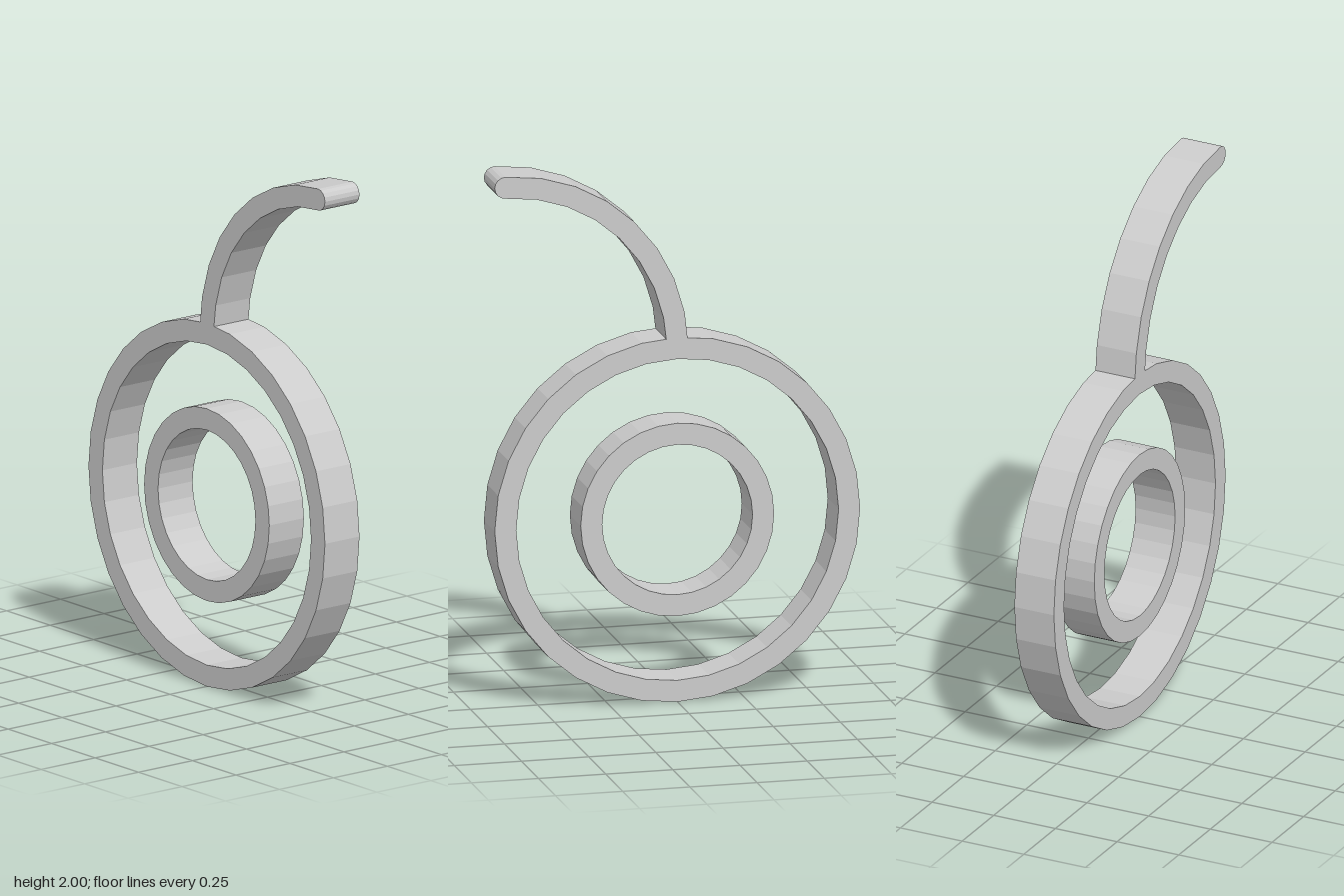
import * as THREE from 'three';

const DEPTH = 0.16;
const CENTRE_Y = 0.68;

// Points along a circular arc, angles in radians
function arc(cx, cy, r, from, to, steps) {
  return Array.from({ length: steps + 1 }, (_, i) => {
    const a = from + ((to - from) * i) / steps;
    return new THREE.Vector2(cx + r * Math.cos(a), cy + r * Math.sin(a));
  });
}

function plate(name, shape, material) {
  const geometry = new THREE.ExtrudeGeometry(shape, { depth: DEPTH, bevelEnabled: false });
  geometry.translate(0, 0, -DEPTH / 2);
  const mesh = new THREE.Mesh(geometry, material);
  mesh.name = name;
  return mesh;
}

// Flat faceted ring, 32 sides
function ring(name, outer, inner, material) {
  const circle = (r) => arc(0, CENTRE_Y, r, 0, Math.PI * 2, 32).slice(0, 32);
  const shape = new THREE.Shape(circle(outer));
  shape.holes.push(new THREE.Path(circle(inner)));
  return plate(name, shape, material);
}

export function createModel() {
  const group = new THREE.Group();
  group.name = 'ringsWithCurvedArm';
  const grey = new THREE.MeshStandardMaterial({ color: 0xcccccc });
  grey.name = 'lightGrey';

  group.add(ring('outerRing', 0.68, 0.6, grey));
  group.add(ring('innerRing', 0.36, 0.28, grey));

  // Quarter-circle arm rising from the outer ring, with a rounded tip
  const cx = 0.64, cy = 1.32;
  const outline = [
    new THREE.Vector2(-0.038, 1.352),
    ...arc(cx, cy, 0.68, Math.PI, Math.PI / 2, 8).slice(1),
    ...arc(cx, 1.96, 0.04, Math.PI / 2, -Math.PI / 2, 8).slice(1, -1),
    ...arc(cx, cy, 0.6, Math.PI / 2, Math.PI, 8).slice(0, -1),
    new THREE.Vector2(0.041, 1.352),
  ];
  group.add(plate('curvedArm', new THREE.Shape(outline), grey));
  return group;
}
